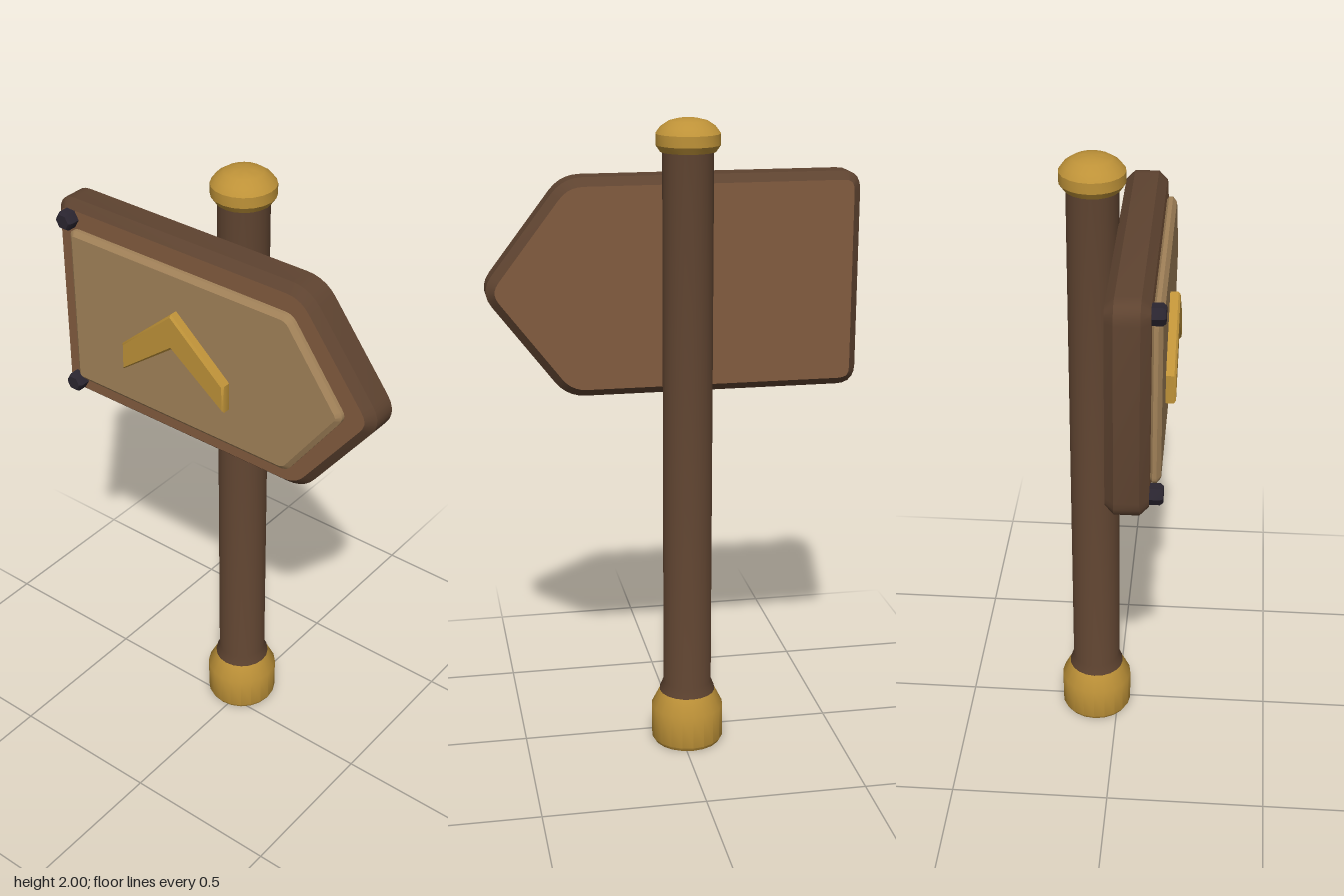
import * as THREE from 'three';
import { toCreasedNormals } from 'three/addons/utils/BufferGeometryUtils.js';

const material = (name, color) => {
  const m = new THREE.MeshStandardMaterial({ color });
  m.name = name;
  return m;
};

// Closed outline with softened corners of size r
function roundedShape(corners, r) {
  const pts = corners.map(([x, y]) => new THREE.Vector2(x, y));
  const shape = new THREE.Shape();
  const toward = (a, b) => a.clone().add(b.clone().sub(a).setLength(r));
  pts.forEach((p, i) => {
    const before = toward(p, pts[(i + pts.length - 1) % pts.length]);
    const after = toward(p, pts[(i + 1) % pts.length]);
    if (i === 0) shape.moveTo(before.x, before.y);
    else shape.lineTo(before.x, before.y);
    shape.quadraticCurveTo(p.x, p.y, after.x, after.y);
  });
  shape.closePath();
  return shape;
}

// Bevelled plate whose outer outline is the shape, between z0 and z1
function plate(shape, z0, z1, bevel, bevelDepth) {
  const g = new THREE.ExtrudeGeometry(shape, {
    depth: z1 - z0 - 2 * bevelDepth, curveSegments: 5,
    bevelEnabled: true, bevelSegments: 1,
    bevelSize: bevel, bevelOffset: -bevel, bevelThickness: bevelDepth,
  });
  g.translate(0, 0, z0 + bevelDepth);
  return toCreasedNormals(g, 0.6);
}

// Turned part from [radius, height] pairs
function turned(profile, segments = 20) {
  const g = new THREE.LatheGeometry(profile.map(([r, y]) => new THREE.Vector2(r, y)), segments);
  return toCreasedNormals(g, 0.6);
}

// Arrow outline pointing to +x
const arrow = (left, shoulder, tip, bottom, top) => [
  [left, bottom], [shoulder, bottom], [tip, (bottom + top) / 2], [shoulder, top], [left, top],
];

export function createModel() {
  const model = new THREE.Group();
  const darkWood = material('dark wood', 0x5e4330);
  const boardWood = material('board wood', 0x825b3f);
  const paleWood = material('pale wood', 0xa28259);
  const gold = material('gold', 0xbe9238);
  const iron = material('dark iron', 0x2a2530);

  const add = (name, geometry, mat, x = 0, y = 0, z = 0) => {
    const mesh = new THREE.Mesh(geometry, mat);
    mesh.name = name;
    mesh.position.set(x, y, z);
    model.add(mesh);
    return mesh;
  };

  // Post with metal foot and finial
  const px = -0.02, pz = -0.073;
  add('post', turned([[0, 0.15], [0.09, 0.165], [0.088, 0.178], [0.077, 0.205], [0.077, 1.91], [0, 1.91]]), darkWood, px, 0, pz);
  add('foot', turned([[0, 0], [0.108, 0], [0.115, 0.012], [0.115, 0.12], [0.088, 0.174], [0, 0.174]]), gold, px, 0, pz);
  add('finial', turned([
    [0, 1.902], [0.083, 1.902], [0.097, 1.922], [0.097, 1.955],
    [0.082, 1.975], [0.058, 1.991], [0.03, 1.998], [0, 2],
  ]), gold, px, 0, pz);

  // Arrow board: lighter faces, dark edges
  add('board', plate(roundedShape(arrow(-0.578, 0.34, 0.598, 1.145, 1.82), 0.06), 0.002, 0.126, 0.025, 0.026),
    [boardWood, darkWood]);

  // Raised inner panel
  add('panel', plate(roundedShape(arrow(-0.502, 0.308, 0.499, 1.22, 1.742), 0.025), 0.12, 0.156, 0.015, 0.012), paleWood);

  // Raised chevron
  const chevron = new THREE.Shape([
    [-0.28, 1.357], [-0.088, 1.5], [0.106, 1.357], [0.106, 1.447], [-0.088, 1.617], [-0.28, 1.447],
  ].map(([x, y]) => new THREE.Vector2(x, y)));
  add('chevron', plate(chevron, 0.15, 0.186, 0.006, 0.006), gold);

  // Hexagonal bolts with chamfered heads
  const bolt = turned([[0, 0], [0.031, 0], [0.031, 0.036], [0.024, 0.045], [0, 0.045]], 6);
  bolt.rotateY(Math.PI / 2).rotateX(Math.PI / 2);
  for (const y of [1.2, 1.768]) add('bolt', bolt, iron, -0.513, y, 0.12);

  return model;
}
